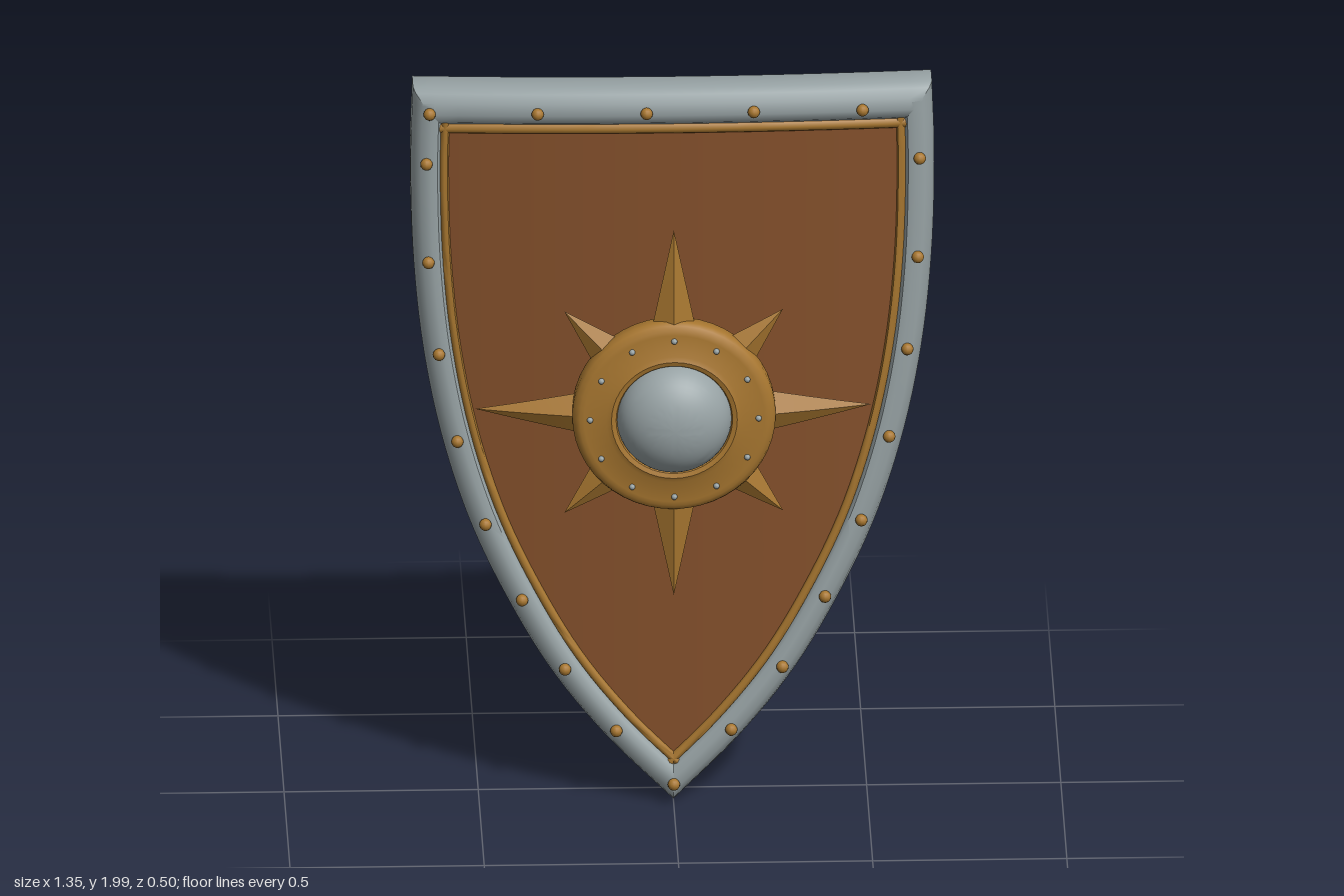
import * as THREE from 'three';
import { toCreasedNormals } from 'three/addons/utils/BufferGeometryUtils.js';

const BEND = 0.16;      // backward sweep of the whole shield: z -= BEND * x^2
const BOSS_Y = 1.108;

const mat = (name, color) => {
  const m = new THREE.MeshStandardMaterial({ color });
  m.name = name;
  return m;
};

function bend(geo) {
  const p = geo.attributes.position;
  for (let i = 0; i < p.count; i++) p.setZ(i, p.getZ(i) - BEND * p.getX(i) ** 2);
  geo.computeVertexNormals();
  return geo;
}

// Right half of the outline, from bottom tip to top corner
const sideCurve = new THREE.CatmullRomCurve3([
  [0, 0.012], [0.177, 0.195], [0.312, 0.369], [0.424, 0.563], [0.52, 0.773], [0.593, 1.006],
  [0.641, 1.249], [0.667, 1.506], [0.674, 1.785], [0.668, 1.98],
].map(([x, y]) => new THREE.Vector3(x, y, 0)));

// Full outline, counter-clockwise from the tip; top edges are marked as wider
function outline() {
  const N = 48, M = 24, pts = [];
  const side = sideCurve.getPoints(N);
  side.forEach((p) => pts.push({ x: p.x, y: p.y, w: 1 }));
  pts[N].w = 1.25;
  for (let i = 1; i < M; i++) {
    const u = 1 - (2 * i) / M;
    pts.push({ x: 0.668 * u, y: 2 - 0.02 * u * u, w: 1.25 });
  }
  for (let i = N; i > 0; i--) pts.push({ x: -side[i].x, y: side[i].y, w: 1 });
  return pts;
}

// Move the outline inwards by d with mitred corners
function inset(pts, d) {
  const n = pts.length;
  const edges = pts.map((p, i) => {
    const q = pts[(i + 1) % n], l = Math.hypot(q.x - p.x, q.y - p.y);
    return { x: -(q.y - p.y) / l, y: (q.x - p.x) / l, d: d * p.w };
  });
  return pts.map((p, i) => {
    const a = edges[(i + n - 1) % n], b = edges[i];
    const det = a.x * b.y - a.y * b.x;
    if (Math.abs(det) < 0.01) {
      const s = b.d / (1 + a.x * b.x + a.y * b.y);
      return { x: p.x + (a.x + b.x) * s, y: p.y + (a.y + b.y) * s };
    }
    return { x: p.x + (a.d * b.y - b.d * a.y) / det, y: p.y + (a.x * b.d - b.x * a.d) / det };
  });
}

// Sweep a closed [inset, z] section around the outline
function sweep(section, crease) {
  const base = outline(), n = base.length, m = section.length, pos = [], idx = [];
  section.forEach(([d, z]) => inset(base, d).forEach((p) => pos.push(p.x, p.y, z)));
  for (let j = 0; j < m; j++) {
    for (let i = 0; i < n; i++) {
      const k = (i + 1) % n, j2 = (j + 1) % m;
      const a = j * n + i, b = j * n + k, c = j2 * n + i, e = j2 * n + k;
      idx.push(a, b, e, a, e, c);
    }
  }
  const g = new THREE.BufferGeometry();
  g.setAttribute('position', new THREE.Float32BufferAttribute(pos, 3));
  g.setIndex(idx);
  return toCreasedNormals(bend(g), crease);
}

// Curved sheet filling the outline; dir = 1 faces forward, -1 faces back
function panelSheet(z, dir) {
  const g = new THREE.PlaneGeometry(2, 1, 24, 48), p = g.attributes.position;
  const half = inset(outline(), 0.045).slice(0, 49);
  for (let i = 0; i < p.count; i++) {
    const s = half[Math.round((p.getY(i) + 0.5) * 48)];
    p.setXYZ(i, dir * p.getX(i) * s.x, s.y, z);
  }
  return bend(g);
}

const lathe = (pts, crease) => toCreasedNormals(
  new THREE.LatheGeometry(pts.map(([r, y]) => new THREE.Vector2(r, y)), 48).rotateX(Math.PI / 2), crease);

export function createModel() {
  const root = new THREE.Group();
  root.name = 'shield';
  const steel = mat('steel', 0x98a3a5);
  const gold = mat('brass', 0xa87730);
  const wood = mat('brown wood', 0x84502b);
  const leather = mat('dark leather', 0x3c2325);

  const add = (name, geo, material, parent = root) => {
    const m = new THREE.Mesh(geo, material);
    m.name = name;
    parent.add(m);
    return m;
  };
  const group = (name) => {
    const g = new THREE.Group();
    g.name = name;
    root.add(g);
    return g;
  };

  // Body and border
  add('panelFront', panelSheet(0.085, 1), wood);
  add('panelBack', panelSheet(-0.012, -1), wood);
  add('rim', sweep([
    [0, 0], [0, 0.075], [0.008, 0.095], [0.025, 0.11], [0.05, 0.113], [0.068, 0.105], [0.076, 0.09],
    [0.076, -0.015], [0.062, -0.03], [0.026, -0.03], [0.006, -0.016],
  ], 0.75), steel);
  const trimSection = [];
  for (let i = 0; i < 8; i++) {
    const a = (-i / 8) * Math.PI * 2;
    trimSection.push([0.085 + 0.012 * Math.cos(a), 0.088 + 0.012 * Math.sin(a)]);
  }
  add('innerTrim', sweep(trimSection, 0.9), gold);

  // Rivets along the border
  const rimRivets = group('rimRivets');
  const rivetGeo = new THREE.SphereGeometry(0.016, 12, 8);
  const rivet = (x, y) => add('rimRivet', rivetGeo, gold, rimRivets)
    .position.set(x, y, 0.119 - BEND * x * x);
  [[0.635, 1.785], [0.63, 1.51], [0.603, 1.255], [0.556, 1.015], [0.484, 0.787], [0.39, 0.58],
    [0.28, 0.39], [0.148, 0.22]].forEach(([x, y]) => { rivet(x, y); rivet(-x, y); });
  [[0, 0.07], [0.487, 1.933], [0.206, 1.945], [-0.07, 1.946], [-0.35, 1.94], [-0.627, 1.925]]
    .forEach(([x, y]) => rivet(x, y));

  // Star spikes, long and short in turn
  const star = group('starSpikes');
  for (let i = 0; i < 8; i++) {
    const inner = 0.2, tip = i % 2 ? 0.398 : 0.51;
    const g = new THREE.ConeGeometry(1, tip - inner, 4, 4, true);
    g.scale(i % 2 ? 0.062 : 0.064, 1, 0.034);
    g.translate(0, (tip + inner) / 2, 0.115);
    g.rotateZ((i * Math.PI) / 4);
    add('spike', toCreasedNormals(bend(g), 0.3), gold, star).position.y = BOSS_Y;
  }

  // Central boss
  const boss = group('boss');
  boss.position.y = BOSS_Y;
  add('bossRing', lathe([[0.25, 0.08], [0.262, 0.1], [0.262, 0.132], [0.256, 0.146], [0.243, 0.154],
    [0.232, 0.155], [0.175, 0.16], [0.162, 0.166], [0.15, 0.162], [0.144, 0.15], [0.144, 0.09]], 0.7),
  gold, boss);
  const domeProfile = [];
  for (let i = 0; i <= 14; i++) {
    const a = (i / 14) * Math.PI / 2;
    domeProfile.push([Math.max(0, 0.148 * Math.cos(a)), 0.145 + 0.104 * Math.sin(a)]);
  }
  add('bossDome', lathe(domeProfile, 1), steel, boss);
  const stud = new THREE.SphereGeometry(0.008, 10, 6);
  for (let i = 0; i < 12; i++) {
    const a = (i * Math.PI) / 6;
    add('bossStud', stud, steel, boss).position.set(0.217 * Math.cos(a), 0.217 * Math.sin(a), 0.158);
  }

  // Arm straps bowed out behind the panel
  const strapGeo = new THREE.BoxGeometry(0.68, 0.09, 0.011, 32, 1, 1);
  const sp = strapGeo.attributes.position;
  for (let i = 0; i < sp.count; i++) {
    const t = Math.abs(sp.getX(i)) / 0.34;
    sp.setZ(i, sp.getZ(i) - 0.244 + 0.215 * (1.12 * t * t - 0.12 * t ** 4));
  }
  strapGeo.computeVertexNormals();
  const studGeo = new THREE.SphereGeometry(0.012, 10, 8);
  for (const [name, y] of [['upperStrap', 1.425], ['lowerStrap', 0.765]]) {
    const g = group(name);
    g.position.y = y;
    add('strapBand', strapGeo, leather, g);
    for (const s of [-1, 1]) add('strapRivet', studGeo, gold, g).position.set(s * 0.328, 0, -0.042);
  }
  return root;
}
